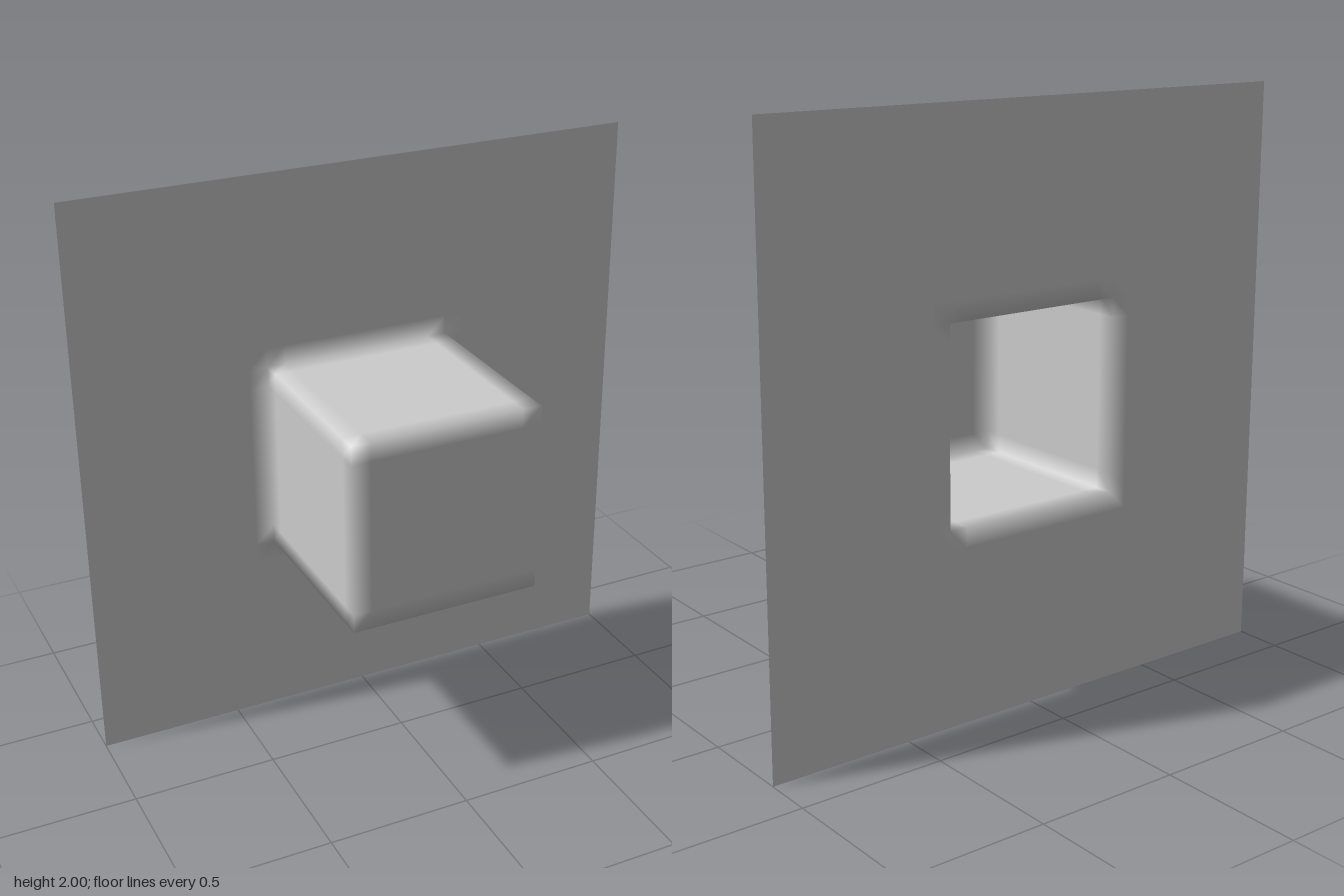
import * as THREE from 'three';
import { mergeGeometries, mergeVertices } from 'three/addons/utils/BufferGeometryUtils.js';

const S = 2 / 3; // side of the cube, and of each third of the sheet
const N = 10; // grid cells along each side

// One square grid tile, turned about x and y, then moved into place
function tile(x, y, z, rx = 0, ry = 0) {
  const g = new THREE.PlaneGeometry(S, S, N, N);
  g.deleteAttribute('uv');
  g.deleteAttribute('normal');
  return g.rotateX(rx).rotateY(ry).translate(x, y, z);
}

export function createModel() {
  const tiles = [];

  // Flat sheet at the back, open in the middle; the middle tile is the cube's front face
  for (let i = -1; i <= 1; i++) {
    for (let j = -1; j <= 1; j++) {
      const middle = i === 0 && j === 0;
      tiles.push(tile(i * S, j * S, middle ? S / 2 : -S / 2));
    }
  }

  // Four walls joining the sheet to the front face
  for (const s of [-1, 1]) {
    tiles.push(tile((s * S) / 2, 0, 0, 0, (s * Math.PI) / 2));
    tiles.push(tile(0, (s * S) / 2, 0, (-s * Math.PI) / 2, 0));
  }

  // Weld the seams so the shading flows softly round every edge
  const geometry = mergeVertices(mergeGeometries(tiles), 1e-3);
  geometry.computeVertexNormals();
  geometry.translate(0, 1, 0);

  const sheet = new THREE.Mesh(
    geometry,
    new THREE.MeshStandardMaterial({ color: 0xcccccc, side: THREE.DoubleSide })
  );
  sheet.name = 'sheetWithRaisedCube';

  const model = new THREE.Group();
  model.name = 'raisedCubePanel';
  model.add(sheet);
  return model;
}
